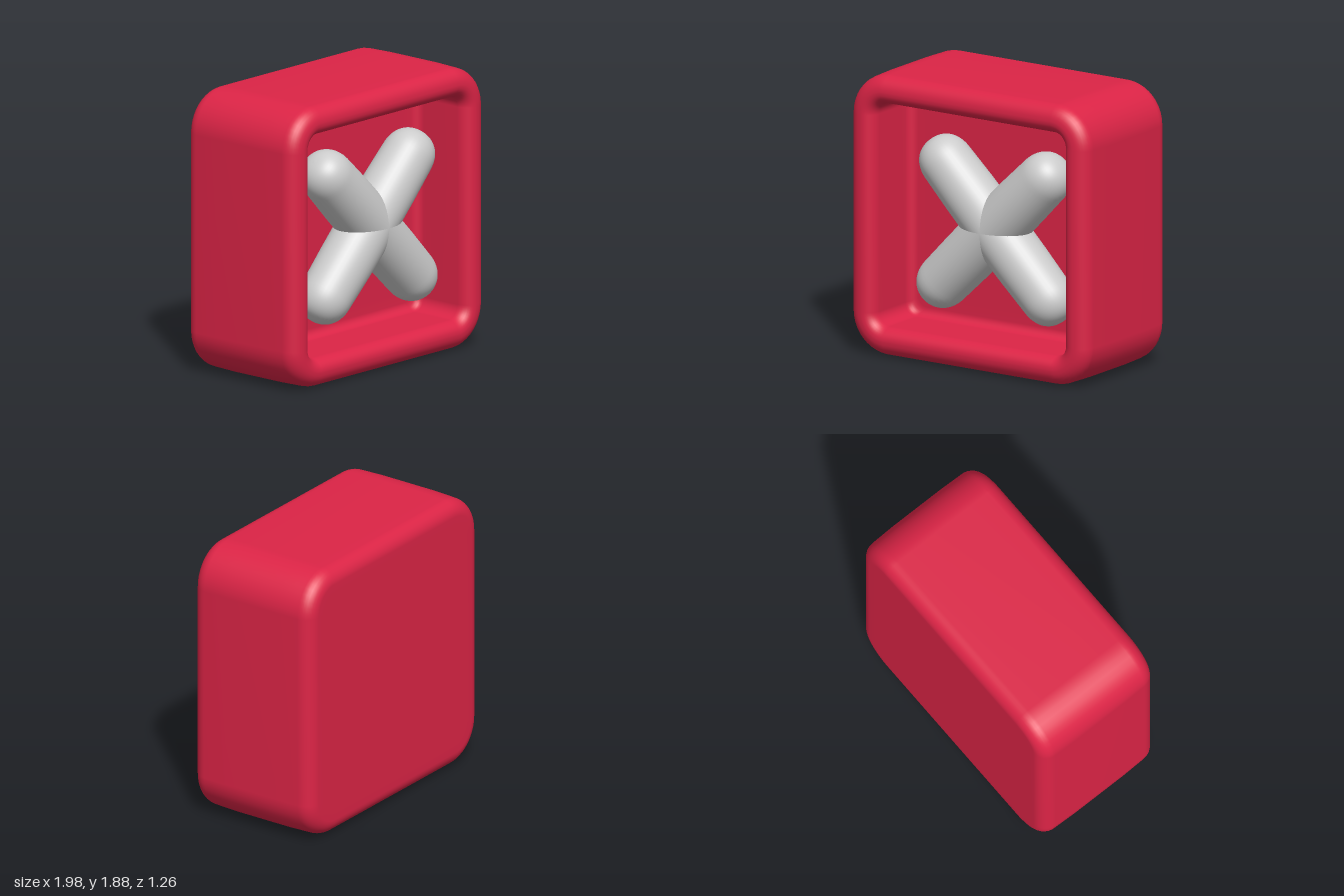
import * as THREE from 'three';

const HALF = 0.938, DEPTH = 0.4725, FLOOR = 0.03, WALL = 0.193;

// Rounded square outline, counter-clockwise seen from the front
function ring(inset, z) {
  const h = HALF - inset, r = Math.min(h, Math.max(0.28 - inset, 0.07)), pts = [], steps = 10;
  for (let c = 0; c < 4; c++) {
    const mid = Math.PI / 4 + c * Math.PI / 2;
    const cx = Math.sign(Math.cos(mid)) * (h - r), cy = Math.sign(Math.sin(mid)) * (h - r);
    for (let i = 0; i <= steps; i++) {
      const a = (c + i / steps) * Math.PI / 2;
      pts.push([cx + r * Math.cos(a), cy + r * Math.sin(a), z]);
    }
  }
  return pts;
}

// Quarter-round run of [inset, z] pairs about a centre
function arc(inset, z, ri, rz, from, to, n = 8) {
  return Array.from({ length: n + 1 }, (_, i) => {
    const a = from + (to - from) * i / n;
    return [inset + ri * Math.cos(a), z + rz * Math.sin(a)];
  });
}

// Open-fronted case: back, outer wall, rounded rim, inner wall and floor in one skin
function caseGeometry() {
  const P = Math.PI, f = 0.06;
  const profile = [
    [HALF - 0.001, -DEPTH], [0.5, -DEPTH], [0.16, -DEPTH],
    ...arc(0.105, -DEPTH + 0.1, 0.1, 0.1, 1.5 * P, P),
    [0, -0.2], [0, 0.2],
    ...arc(0.105, DEPTH - 0.1, 0.1, 0.1, P, P / 2),
    ...arc(0.115, DEPTH - 0.09, WALL - 0.115, 0.09, P / 2, 0),
    [WALL, 0.25], [WALL, 0.15],
    ...arc(WALL + f, FLOOR + f, f, f, P, 1.5 * P, 6),
    [0.32, FLOOR], [0.6, FLOOR], [HALF - 0.001, FLOOR],
  ];
  const rings = profile.map(([inset, z]) => ring(inset, z));
  const n = rings[0].length, index = [];
  for (let i = 0; i < rings.length - 1; i++) {
    for (let j = 0; j < n; j++) {
      const a = i * n + j, b = i * n + (j + 1) % n;
      index.push(a, b, b + n, a, b + n, a + n);
    }
  }
  const geo = new THREE.BufferGeometry();
  geo.setAttribute('position', new THREE.Float32BufferAttribute(rings.flat(2), 3));
  geo.setIndex(index);
  geo.computeVertexNormals();
  return geo;
}

// Slightly tapered round arm with a blunt tip
function armGeometry(length) {
  const pts = [new THREE.Vector2(0.186, 0), new THREE.Vector2(0.183, length * 0.4)];
  const r = 0.176, cap = 0.2;
  for (let i = 0; i <= 14; i++) {
    const a = i / 14 * Math.PI / 2;
    pts.push(new THREE.Vector2(
      i === 14 ? 0 : r * Math.pow(Math.cos(a), 0.88),
      length - cap + cap * Math.pow(Math.sin(a), 0.88)));
  }
  return new THREE.LatheGeometry(pts, 40);
}

export function createModel() {
  const model = new THREE.Group();
  model.name = 'crossBlock';
  const body = new THREE.Group();
  body.name = 'block';
  body.rotation.y = THREE.MathUtils.degToRad(11.5);
  body.position.y = HALF;
  model.add(body);

  const shell = new THREE.Mesh(caseGeometry(), new THREE.MeshStandardMaterial({ color: 0xdc2446 }));
  shell.name = 'case';
  body.add(shell);

  // Four arms meeting in a cross on the recessed floor
  const cross = new THREE.Group();
  cross.name = 'cross';
  cross.position.set(0.06, -0.018, 0.222);
  const grey = new THREE.MeshStandardMaterial({ color: 0xcccccc });
  const arms = [['upperLeftArm', -45, 0.72], ['upperRightArm', 45, 0.725],
    ['lowerRightArm', 135, 0.755], ['lowerLeftArm', -135, 0.755]];
  for (const [name, angle, length] of arms) {
    const arm = new THREE.Mesh(armGeometry(length), grey);
    arm.name = name;
    arm.rotation.z = THREE.MathUtils.degToRad(angle);
    cross.add(arm);
  }
  body.add(cross);
  return model;
}
